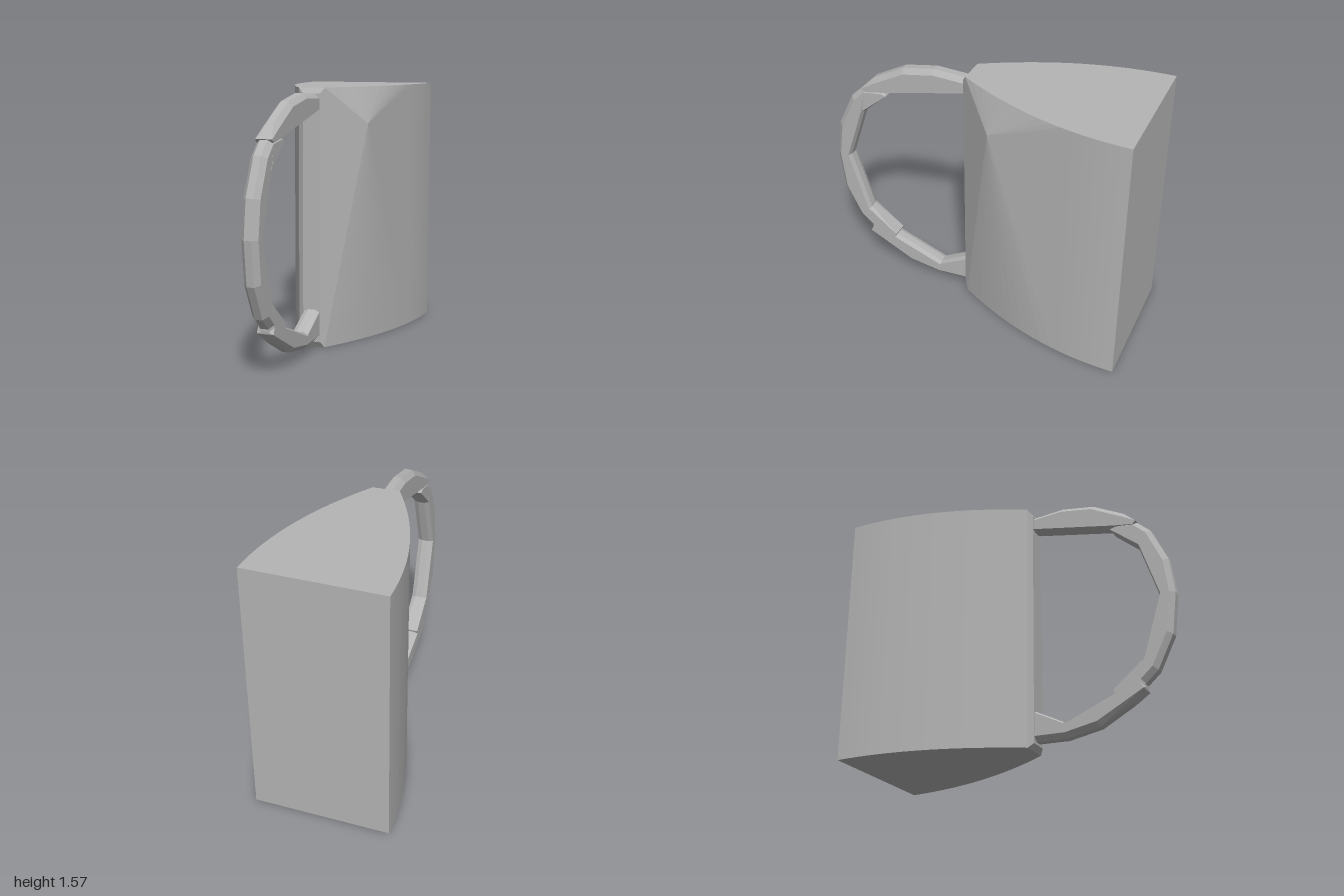
import * as THREE from 'three';
import { ConvexGeometry } from 'three/addons/geometries/ConvexGeometry.js';

const H = 1.57;

export function createModel() {
  const group = new THREE.Group();
  const grey = new THREE.MeshStandardMaterial({ color: 0xb4b4b4 });
  grey.name = 'plainGrey';

  function hull(name, points) {
    const mesh = new THREE.Mesh(new ConvexGeometry(points), grey);
    mesh.name = name;
    group.add(mesh);
  }

  // Wedge body: curved sides, flat back, chamfered front strip, one bulge on the left side
  const body = [];
  const steps = 16;
  for (const y of [0, H]) {
    for (const [side, frontX] of [[-1, 0.09], [1, 0.075]]) {
      for (let i = 0; i <= steps; i++) {
        const t = i / steps;
        const x = 0.41 - (0.41 - frontX) * t * t;
        body.push(new THREE.Vector3(side * x, y, -1 + 1.087 * t));
      }
    }
  }
  for (const x of [-0.055, 0.055]) {
    for (const y of [0.035, H - 0.035]) body.push(new THREE.Vector3(x, y, 0.11));
  }
  body.push(new THREE.Vector3(0.27, 1.35, -0.13));
  hull('body', body);

  // Handle segments: outer and inner outlines as [z, y], with bevelled edges
  const segments = [
    ['handleTop',
      [[0.1, 1.535], [0.305, 1.545], [0.51, 1.507], [0.708, 1.4], [0.79, 1.32]],
      [[0.1, 1.435], [0.638, 1.312], [0.78, 1.31]]],
    ['handleUpperCorner', [[0.64, 1.325], [0.79, 1.315]], [[0.65, 1.3], [0.785, 1.15]]],
    ['handleUpperFront',
      [[0.79, 1.315], [0.87, 1.24], [0.97, 1.024], [1, 0.805]],
      [[0.79, 1.15], [0.905, 0.805]]],
    ['handleLowerFront',
      [[1, 0.805], [0.97, 0.55], [0.87, 0.35], [0.79, 0.28]],
      [[0.905, 0.805], [0.79, 0.43]]],
    ['handleLowerCorner', [[0.62, 0.245], [0.79, 0.265]], [[0.61, 0.257], [0.785, 0.43]]],
    ['handleBottom',
      [[0.79, 0.265], [0.708, 0.18], [0.51, 0.075], [0.3, 0.04]],
      [[0.78, 0.26], [0.61, 0.257], [0.29, 0.13]]],
    ['handleFoot', [[0.3, 0.04], [0.1, 0.05]], [[0.29, 0.14], [0.1, 0.24]]],
  ];
  for (const [name, outer, inner] of segments) {
    const points = [];
    const addEdge = (edge, inset) => {
      for (const [z, y] of edge) {
        const toCentre = new THREE.Vector2(0.3 - z, 0.8 - y).setLength(inset);
        for (const s of [-1, 1]) {
          points.push(new THREE.Vector3(s * 0.022, y, z));
          points.push(new THREE.Vector3(s * 0.05, y + toCentre.y, z + toCentre.x));
        }
      }
    };
    addEdge(outer, 0.03);
    addEdge(inner, -0.012);
    hull(name, points);
  }
  return group;
}
